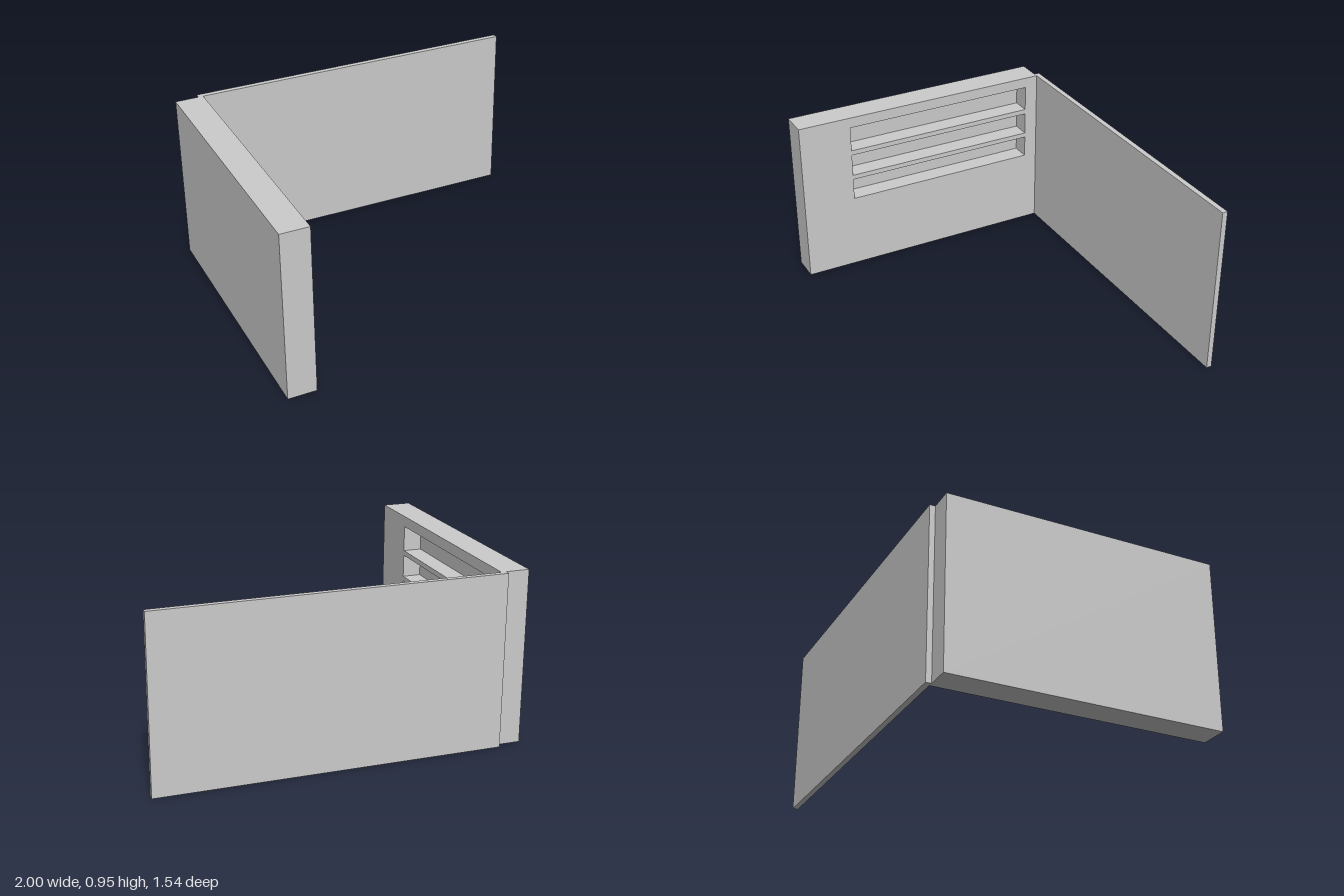
import * as THREE from 'three';

const HEIGHT = 0.952;
const material = new THREE.MeshStandardMaterial({ color: 0xcccccc, flatShading: true });

// Trace a rectangle on a Shape or Path
function rect(path, x0, y0, x1, y1) {
  path.moveTo(x0, y0);
  path.lineTo(x1, y0);
  path.lineTo(x1, y1);
  path.lineTo(x0, y1);
  path.closePath();
  return path;
}

// Box given by its minimum and maximum corners
function box(name, min, max) {
  const size = max.map((v, i) => v - min[i]);
  const mesh = new THREE.Mesh(new THREE.BoxGeometry(...size), material);
  mesh.position.set(...max.map((v, i) => (v + min[i]) / 2));
  mesh.name = name;
  return mesh;
}

export function createModel() {
  const model = new THREE.Group();
  model.name = 'cornerWalls';

  // Thick side wall: solid backing plus a face pierced by three long niches
  const zBack = -0.742, zFront = 0.772;
  const xOuter = -1, xNiche = -0.949, xInner = -0.843;
  const nicheWall = new THREE.Group();
  nicheWall.name = 'nicheWall';
  nicheWall.add(box('nicheBacking', [xOuter, 0, zBack], [xNiche, HEIGHT, zFront]));

  // Drawn with shape x = -z, then turned to face +x
  const face = rect(new THREE.Shape(), -zFront, 0, -zBack, HEIGHT);
  const nicheHeights = [[0.435, 0.56], [0.588, 0.717], [0.746, 0.891]];
  for (const [y0, y1] of nicheHeights) {
    face.holes.push(rect(new THREE.Path(), -0.467, y0, 0.666, y1));
  }
  const faceGeometry = new THREE.ExtrudeGeometry(face, { depth: xInner - xNiche, bevelEnabled: false });
  faceGeometry.rotateY(Math.PI / 2);
  const nicheFace = new THREE.Mesh(faceGeometry, material);
  nicheFace.position.x = xNiche;
  nicheFace.name = 'nicheFace';
  nicheWall.add(nicheFace);
  model.add(nicheWall);

  // Thin rear wall overlapping the end of the thick wall
  model.add(box('rearWall', [-0.87, 0, -0.772], [1, HEIGHT, zBack]));

  return model;
}
